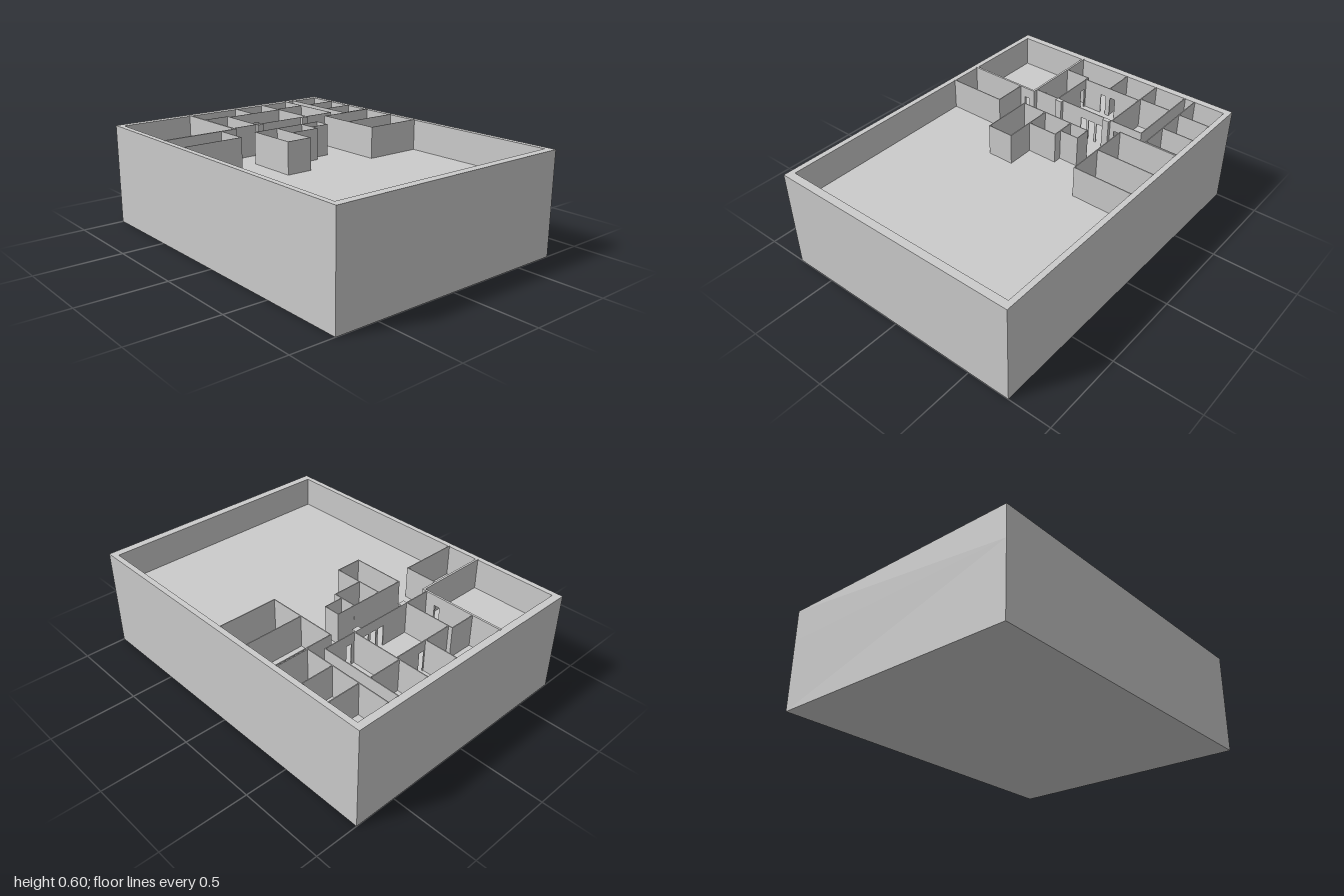
import * as THREE from 'three';

const FLOOR = 0.413, RIM = 0.596, TOP = 0.6, DOOR_H = 0.125;
const material = new THREE.MeshStandardMaterial({ color: 0xcccccc, flatShading: true });

function add(parent, name, geometry) {
  const mesh = new THREE.Mesh(geometry, material);
  mesh.name = name;
  parent.add(mesh);
  return mesh;
}

// Upright partition from (x1,z1) to (x2,z2); doors are [distance along wall, width]
function addWall(parent, name, [x1, z1, x2, z2, t = 0.005, doors = []]) {
  const length = Math.hypot(x2 - x1, z2 - z1) + t;
  const shape = new THREE.Shape();
  shape.moveTo(0, 0);
  for (const [at, w] of doors) {
    shape.lineTo(at - w / 2, 0);
    shape.lineTo(at - w / 2, DOOR_H);
    shape.lineTo(at + w / 2, DOOR_H);
    shape.lineTo(at + w / 2, 0);
  }
  shape.lineTo(length, 0);
  shape.lineTo(length, TOP - FLOOR);
  shape.lineTo(0, TOP - FLOOR);
  const geometry = new THREE.ExtrudeGeometry(shape, { depth: t, bevelEnabled: false });
  geometry.translate(-t / 2, 0, -t / 2);
  const wall = add(parent, name, geometry);
  wall.position.set(x1, FLOOR, z1);
  wall.rotation.y = -Math.atan2(z2 - z1, x2 - x1);
}

// Counter-clockwise rectangle in plan, so that extruded sides face the right way
function rect(path, x1, z1, x2, z2) {
  path.moveTo(x1, -z1);
  path.lineTo(x1, -z2);
  path.lineTo(x2, -z2);
  path.lineTo(x2, -z1);
  path.closePath();
  return path;
}

export function createModel() {
  const model = new THREE.Group();
  model.name = 'building';
  const L = -0.718, R = 0.718, B = -0.957;

  // Solid base and the thick outer wall around the floor
  add(model, 'base', new THREE.BoxGeometry(1.5, FLOOR, 2).translate(0, FLOOR / 2, 0));
  const ring = rect(new THREE.Shape(), -0.75, -1, 0.75, 1);
  ring.holes.push(rect(new THREE.Path(), L, B, R, 0.953));
  const rim = new THREE.ExtrudeGeometry(ring, { depth: RIM - FLOOR, bevelEnabled: false });
  add(model, 'outerWall', rim.rotateX(-Math.PI / 2).translate(0, FLOOR, 0));

  const areas = {
    cornerRoom: [
      [L, -0.461, -0.27, -0.461, 0.012, [[0.41, 0.035]]],
      [-0.27, B, -0.27, -0.461, 0.012, [[0.402, 0.035]]],
    ],
    sideRoom: [
      [-0.366, -0.455, -0.366, -0.259],
      [L, -0.259, -0.366, -0.259],
    ],
    backRooms: [
      [-0.264, -0.79, -0.108, -0.79],
      [-0.108, -0.79, -0.108, -0.485, 0.005, [[0.06, 0.035]]],
      [-0.108, -0.766, 0.27, -0.766, 0.005, [[0.135, 0.035], [0.2, 0.035]]],
      [0.064, B, 0.064, -0.766],
      [0.27, B, 0.27, -0.485],
      [0.27, -0.785, 0.466, -0.785],
      [0.466, B, 0.466, -0.485],
      // Long wall with a row of glazed-door openings
      [-0.264, -0.485, 0.466, -0.485, 0.005,
        [[0.35, 0.04], [0.404, 0.04], [0.458, 0.04], [0.575, 0.035]]],
    ],
    sideCells: [
      [0.53, B, 0.53, -0.425],
      [0.53, -0.778, R, -0.778],
      [0.53, -0.603, R, -0.603],
      [0.53, -0.43, R, -0.43],
    ],
    sideOffices: [
      [0.37, -0.421, R, -0.421],
      [0.37, -0.421, 0.37, 0.004],
      [0.37, -0.203, R, -0.203],
      [0.37, 0.004, R, 0.004],
    ],
    centreCore: [
      [-0.228, -0.32, 0.106, -0.32],
      [-0.228, -0.32, -0.228, -0.014],
      [-0.228, -0.014, -0.074, -0.014],
      [-0.074, -0.32, -0.074, -0.014],
      [-0.074, -0.177, 0.106, -0.177],
      [0.106, -0.32, 0.106, -0.177],
      [0.106, -0.32, 0.222, -0.32, 0.004],
      [0.222, -0.32, 0.222, -0.225, 0.004],
      [0.106, -0.225, 0.222, -0.225, 0.004],
    ],
  };
  for (const [name, walls] of Object.entries(areas)) {
    const group = new THREE.Group();
    group.name = name;
    walls.forEach((wall) => addWall(group, name + 'Wall', wall));
    model.add(group);
  }

  // Small piers against the long wall
  for (const x of [-0.089, 0.243]) {
    const h = TOP - FLOOR;
    add(model, 'pier', new THREE.BoxGeometry(0.04, h, 0.022)).position.set(x, FLOOR + h / 2, -0.473);
  }
  return model;
}
